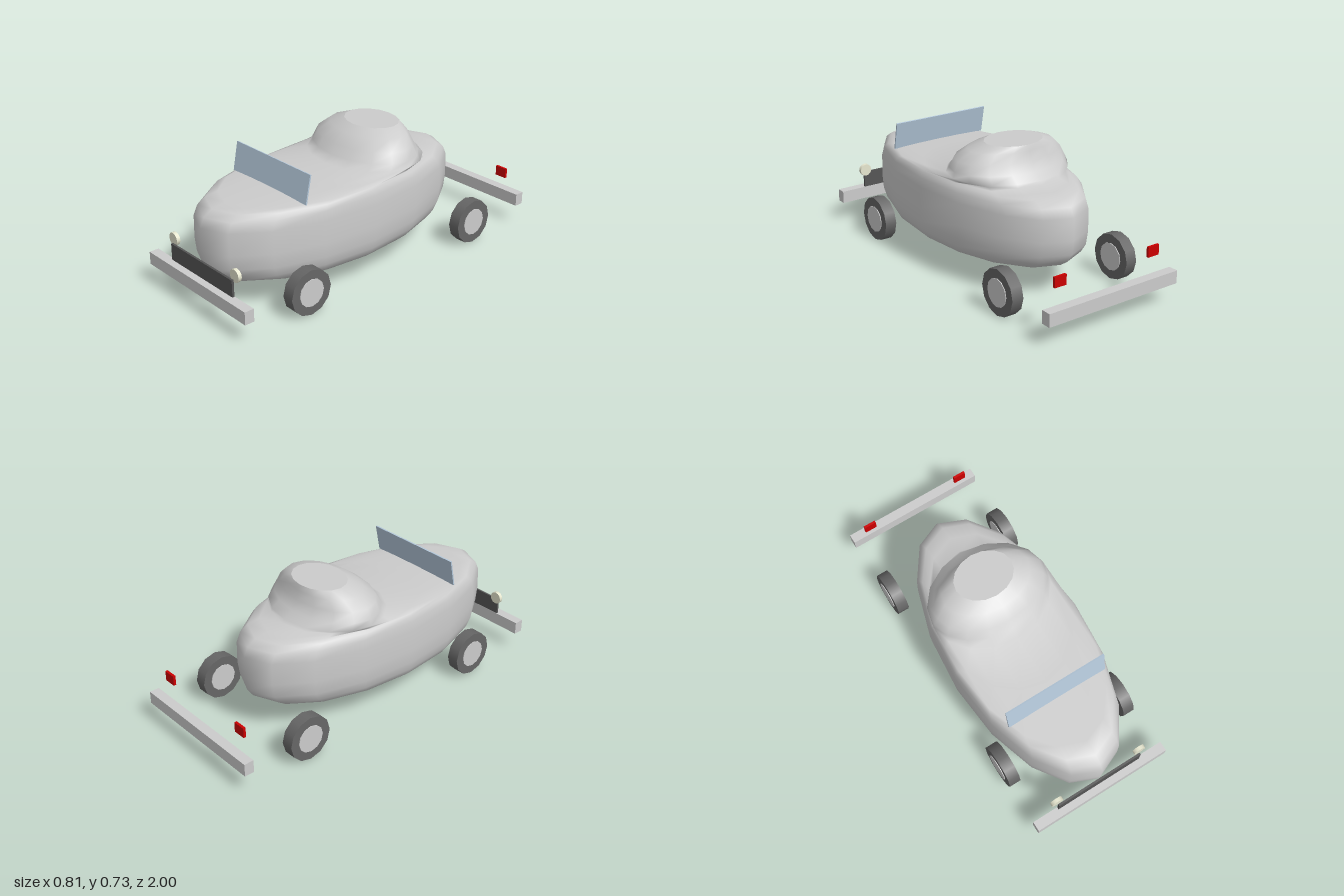
import * as THREE from 'three';

const paint = (color) => new THREE.MeshStandardMaterial({ color });
const grey = paint(0xcccccc);
const rubber = paint(0x666666);
const dark = paint(0x555555);
const lamp = paint(0xe6e6cf);
const red = paint(0xcc0000);
const glass = paint(0xb4c8da);

function add(parent, name, geometry, material, x = 0, y = 0, z = 0) {
  const mesh = new THREE.Mesh(geometry, material);
  mesh.name = name;
  mesh.position.set(x, y, z);
  parent.add(mesh);
  return mesh;
}

// Elliptical hull rings: height, centre z, half width, half length
const RINGS = [
  [0.13, 0.16, 0.29, 0.55],
  [0.142, 0.145, 0.32, 0.66],
  [0.165, 0.145, 0.345, 0.73],
  [0.2, 0.14, 0.362, 0.775],
  [0.25, 0.137, 0.374, 0.807],
  [0.33, 0.135, 0.38, 0.817],
  [0.45, 0.135, 0.376, 0.815],
  [0.5, 0.135, 0.37, 0.79],
  [0.53, 0.135, 0.362, 0.74],
  [0.54, 0.135, 0.352, 0.66],
  [0.55, 0.0, 0.346, 0.43],
  [0.567, -0.13, 0.341, 0.285],
  [0.6, -0.13, 0.333, 0.235],
  [0.65, -0.13, 0.31, 0.203],
  [0.7, -0.155, 0.25, 0.165],
  [0.73, -0.18, 0.165, 0.13],
];

// Loft through the rings, with flat caps on separate vertices
function hullGeometry(rings, sides) {
  const pos = [];
  const index = [];
  const ring = ([y, zc, rx, rz]) => {
    for (let i = 0; i < sides; i++) {
      const a = (i / sides) * Math.PI * 2;
      pos.push(Math.sin(a) * rx, y, zc + Math.cos(a) * rz);
    }
  };
  rings.forEach(ring);
  for (let r = 0; r < rings.length - 1; r++) {
    for (let i = 0; i < sides; i++) {
      const a = r * sides + i;
      const b = r * sides + ((i + 1) % sides);
      index.push(a, b, b + sides, a, b + sides, a + sides);
    }
  }
  for (const [data, up] of [[rings[0], false], [rings[rings.length - 1], true]]) {
    const start = pos.length / 3;
    ring(data);
    for (let i = 1; i < sides - 1; i++) {
      if (up) index.push(start, start + i, start + i + 1);
      else index.push(start, start + i + 1, start + i);
    }
  }
  const geometry = new THREE.BufferGeometry();
  geometry.setAttribute('position', new THREE.Float32BufferAttribute(pos, 3));
  geometry.setIndex(index);
  geometry.computeVertexNormals();
  return geometry;
}

export function createModel() {
  const car = new THREE.Group();
  car.name = 'car';

  add(car, 'body', hullGeometry(RINGS, 16), grey);

  // Windscreen, leaning back
  const screen = add(car, 'windscreen', new THREE.BoxGeometry(0.584, 0.155, 0.008), glass, 0, 0.617, 0.508);
  screen.rotation.x = -0.2;

  // Grille and bumpers
  add(car, 'grille', new THREE.BoxGeometry(0.512, 0.12, 0.012), dark, 0, 0.212, 0.954);
  const bumper = new THREE.BoxGeometry(0.81, 0.07, 0.054);
  add(car, 'frontBumper', bumper, grey, 0, 0.145, 0.973);
  add(car, 'rearBumper', bumper, grey, 0, 0.145, -0.973);

  // Lights and wheels, mirrored left and right
  const headlight = new THREE.CylinderGeometry(0.035, 0.035, 0.02, 12).rotateX(Math.PI / 2);
  const taillight = new THREE.BoxGeometry(0.07, 0.055, 0.014);
  const tyre = new THREE.CylinderGeometry(0.125, 0.125, 0.066, 12).rotateZ(Math.PI / 2);
  const hub = new THREE.CylinderGeometry(0.076, 0.076, 0.074, 12).rotateZ(Math.PI / 2);
  for (const [side, s] of [['left', 1], ['right', -1]]) {
    add(car, side + 'Headlight', headlight, lamp, s * 0.257, 0.292, 0.935);
    add(car, side + 'Taillight', taillight, red, s * 0.294, 0.293, -0.934);
    for (const [end, z] of [['Front', 0.588], ['Rear', -0.588]]) {
      const wheel = new THREE.Group();
      wheel.name = side + end + 'Wheel';
      wheel.position.set(s * 0.367, 0.125, z);
      add(wheel, 'tyre', tyre, rubber);
      add(wheel, 'hub', hub, grey);
      car.add(wheel);
    }
  }
  return car;
}
